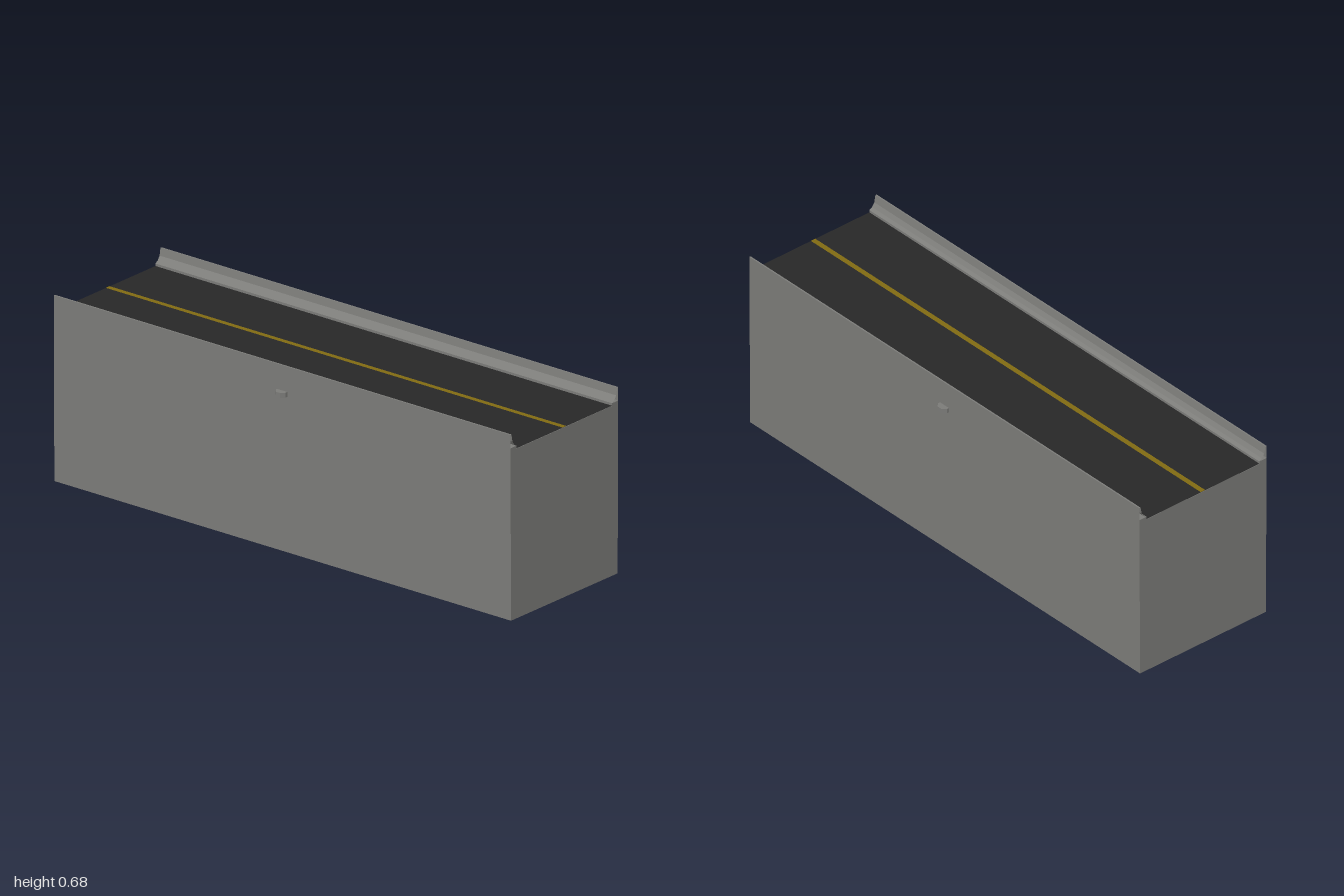
import * as THREE from 'three';

const LENGTH = 2, ROAD_Y = 0.617;

// Open strip: a cross-section in x and y swept along z without end caps
function sweep(points) {
  const pos = [];
  for (let i = 0; i < points.length - 1; i++) {
    const [ax, ay] = points[i], [bx, by] = points[i + 1];
    const h = LENGTH / 2;
    pos.push(ax, ay, h, ax, ay, -h, bx, by, -h);
    pos.push(ax, ay, h, bx, by, -h, bx, by, h);
  }
  const geometry = new THREE.BufferGeometry();
  geometry.setAttribute('position', new THREE.Float32BufferAttribute(pos, 3));
  geometry.computeVertexNormals();
  return geometry;
}

export function createModel() {
  const group = new THREE.Group();
  const material = (name, color) => {
    const m = new THREE.MeshStandardMaterial({ color });
    m.name = name;
    return m;
  };
  const concrete = material('concrete', 0x7b7b78);
  concrete.side = THREE.DoubleSide;
  const asphalt = material('asphalt', 0x272727);
  const yellow = material('yellow paint', 0x806a12);

  const add = (name, geometry, mat) => {
    const mesh = new THREE.Mesh(geometry, mat);
    mesh.name = name;
    group.add(mesh);
    return mesh;
  };

  // Solid body, slightly wider at the top, with a raised curb on each side
  const half = [[0.2815, 0], [0.2845, 0.626], [0.252, 0.626], [0.252, ROAD_Y - 0.001]];
  const outline = [...half, ...half.map(([x, y]) => [-x, y]).reverse()];
  const shape = new THREE.Shape(outline.map(([x, y]) => new THREE.Vector2(x, y)));
  const body = new THREE.ExtrudeGeometry(shape, { depth: LENGTH, bevelEnabled: false });
  body.translate(0, 0, -LENGTH / 2);
  add('body', body, concrete);

  // Road surface and centre line
  const road = new THREE.PlaneGeometry(0.504, LENGTH).rotateX(-Math.PI / 2);
  add('roadSurface', road, asphalt).position.y = ROAD_Y;
  const line = new THREE.PlaneGeometry(0.02, LENGTH).rotateX(-Math.PI / 2);
  add('centreLine', line, yellow).position.y = ROAD_Y + 0.0008;

  for (const side of [1, -1]) {
    const name = side > 0 ? 'left' : 'right';

    // Barrier with a flared foot, open at its ends
    const profile = [
      [0.2845, 0.626], [0.2847, 0.675], [0.279, 0.675],
      [0.274, 0.648], [0.264, 0.633], [0.252, 0.626],
    ];
    add(name + 'Barrier', sweep(profile.map(([x, y]) => [side * x, y])), concrete);

    // Eight-sided stud half sunk into the wall
    const stud = new THREE.CylinderGeometry(0.0245, 0.0245, 0.018, 8).rotateY(Math.PI / 8).toNonIndexed();
    stud.computeVertexNormals();
    add(name + 'Stud', stud, concrete).position.set(side * 0.2843, 0.574, 0);
  }

  return group;
}
